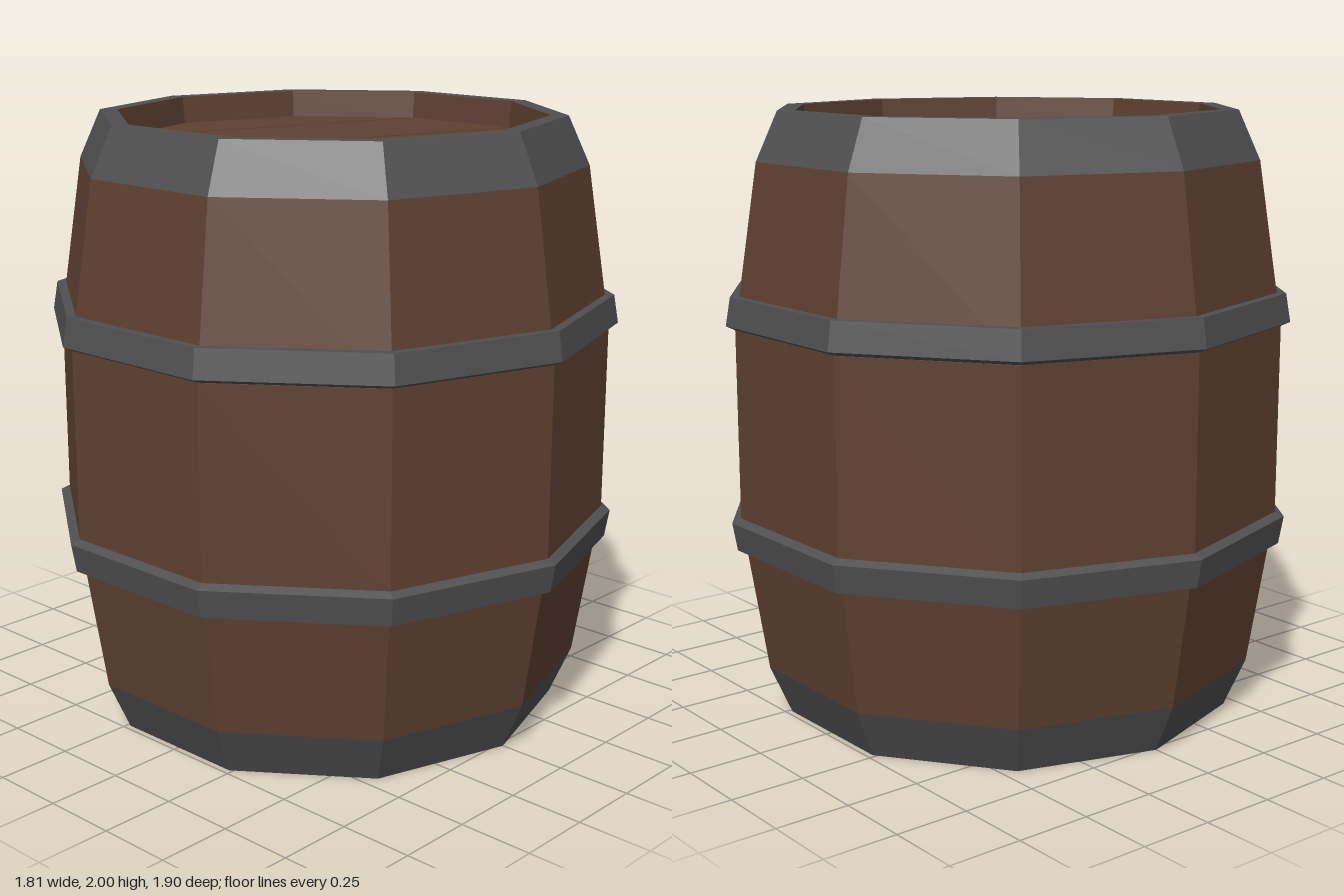
import * as THREE from 'three';

const SIDES = 10;
const wood = new THREE.MeshStandardMaterial({ color: 0x5f4132, flatShading: true });
wood.name = 'brown wood';
const iron = new THREE.MeshStandardMaterial({ color: 0x505050, flatShading: true });
iron.name = 'grey iron';

// Ten-sided ring from a [radius, height] profile, listed outward, up, then inward
function ring(name, profile, material) {
  const points = profile.map(([r, y]) => new THREE.Vector2(r, y));
  const mesh = new THREE.Mesh(new THREE.LatheGeometry(points, SIDES), material);
  mesh.name = name;
  return mesh;
}

// Mirrors a profile about mid-height, keeping its winding
const flip = (profile) => profile.map(([r, y]) => [r, 2 - y]).reverse();

// Four boards with narrow gaps, filling the ten-sided end of the barrel
function planks(name, topY, thickness) {
  const group = new THREE.Group();
  group.name = name;
  const R = 0.703, gap = 0.007;
  const corner = (k) => new THREE.Vector2(
    R * Math.sin(k * Math.PI / 5), R * Math.cos(k * Math.PI / 5));
  const across = corner(2).sub(corner(7)).normalize();
  const normal = new THREE.Vector2(-across.y, across.x);
  // Each entry: corner index and the direction it retreats from the groove
  const boards = [
    [[6, -1], [5, 0], [4, 0], [3, -1]],
    [[7, -1], [6, 1], [3, 1], [2, -1]],
    [[8, -1], [7, 1], [2, 1], [1, -1]],
    [[9, 0], [8, 1], [1, 1], [0, 0]],
  ];
  boards.forEach((board, i) => {
    const shape = new THREE.Shape(
      board.map(([k, s]) => corner(k).addScaledVector(normal, s * gap)));
    const geometry = new THREE.ExtrudeGeometry(shape, { depth: thickness, bevelEnabled: false });
    geometry.rotateX(Math.PI / 2);
    const mesh = new THREE.Mesh(geometry, wood);
    mesh.name = `${name}Board${i + 1}`;
    mesh.position.y = topY;
    group.add(mesh);
  });
  return group;
}

export function createModel() {
  const barrel = new THREE.Group();
  barrel.name = 'barrel';

  // Bulging staves
  barrel.add(ring('staves', [[0.84, 0.165], [0.922, 0.69], [0.922, 1.31], [0.84, 1.842]], wood));

  // Iron end bands and middle hoops
  const endBand = [[0.84, 1.842], [0.768, 2], [0.71, 2]];
  const hoop = [[0.92, 1.31], [0.952, 1.325], [0.936, 1.418], [0.9, 1.418]];
  barrel.add(ring('topBand', endBand, iron));
  barrel.add(ring('bottomBand', [[0.71, 0], [0.768, 0], [0.84, 0.165]], iron));
  barrel.add(ring('upperHoop', hoop, iron));
  barrel.add(ring('lowerHoop', flip(hoop), iron));

  // Recessed ends with a floor under the boards
  barrel.add(ring('topRecess', [[0.71, 2], [0.7, 1.895], [0, 1.895]], wood));
  barrel.add(ring('bottomRecess', [[0, 0.045], [0.7, 0.045], [0.71, 0]], wood));
  barrel.add(planks('topLid', 1.91, 0.015));
  barrel.add(planks('bottomLid', 0.045, 0.015));

  return barrel;
}
